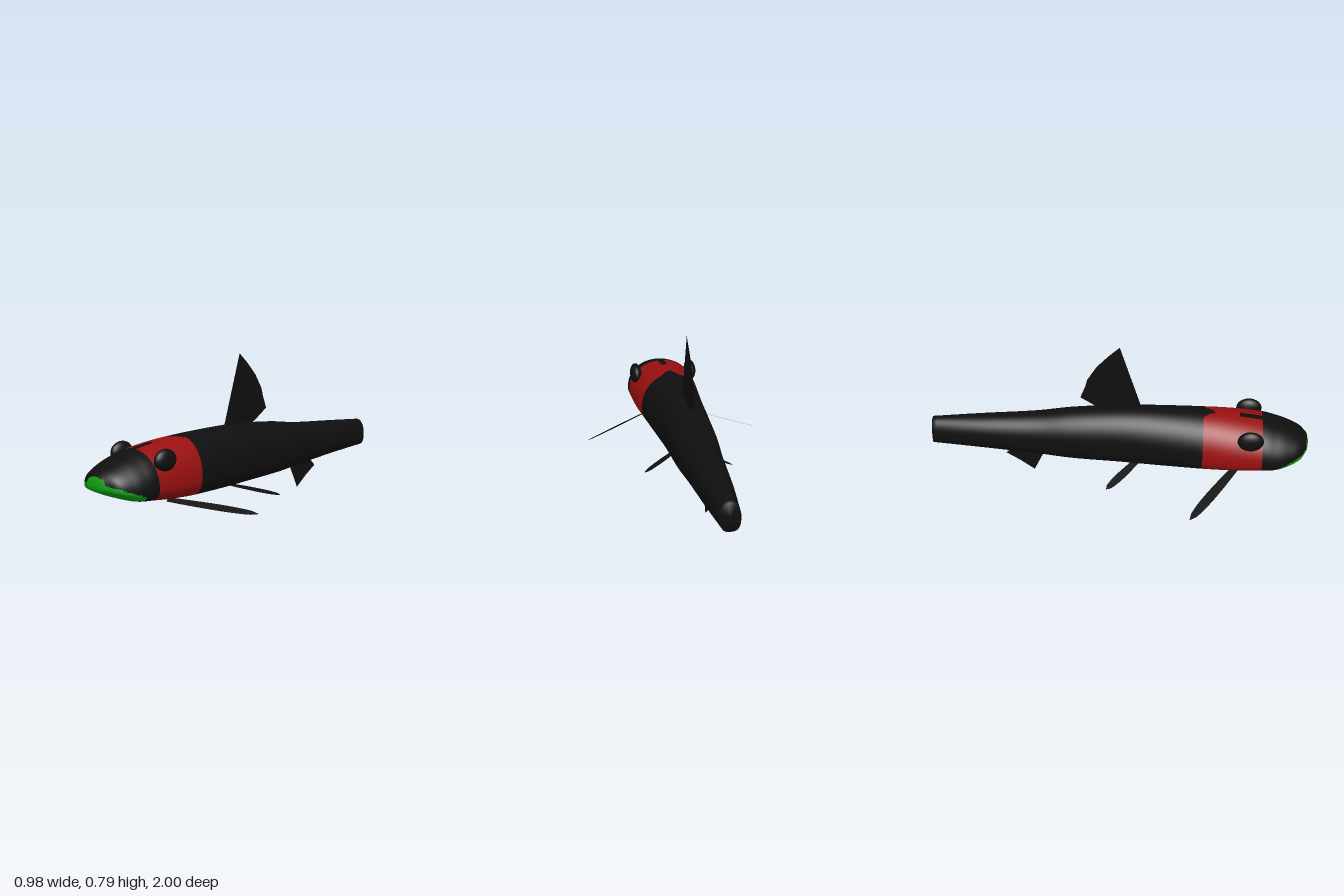
import * as THREE from 'three';

const mat = (name, color, side = THREE.FrontSide) => {
  const m = new THREE.MeshStandardMaterial({ color, side });
  m.name = name;
  return m;
};

// Body stations from nose to tail: z, half width, top, bottom, height fraction of the widest line
const STATIONS = [
  [0.99, 0.06, 0.285, 0.215, 0.35],
  [0.95, 0.13, 0.315, 0.195, 0.25],
  [0.88, 0.168, 0.348, 0.165, 0.25],
  [0.82, 0.184, 0.368, 0.146, 0.28],
  [0.75, 0.188, 0.386, 0.137, 0.33],
  [0.6, 0.182, 0.406, 0.121, 0.36],
  [0.44, 0.165, 0.417, 0.11, 0.4],
  [0.2, 0.142, 0.423, 0.109, 0.45],
  [0, 0.127, 0.42, 0.114, 0.5],
  [-0.25, 0.115, 0.4, 0.125, 0.5],
  [-0.45, 0.097, 0.372, 0.143, 0.5],
  [-0.75, 0.076, 0.347, 0.165, 0.5],
  [-1, 0.05, 0.326, 0.177, 0.5],
];

function bodyGeometry() {
  const spline = (f) => new THREE.CatmullRomCurve3(STATIONS.map(f), false, 'catmullrom');
  const widths = spline((s) => new THREE.Vector3(s[0], s[1], s[4]));
  const heights = spline((s) => new THREE.Vector3(s[0], s[2], s[3]));
  const rings = (STATIONS.length - 1) * 10, seg = 64;
  const pos = [], faces = [[], [], []];
  for (let i = 0; i <= rings; i++) {
    const w = widths.getPoint(i / rings), h = heights.getPoint(i / rings);
    const mid = h.z + (h.y - h.z) * w.z;
    for (let j = 0; j < seg; j++) {
      const a = (j / seg) * Math.PI * 2, s = Math.sin(a), c = Math.cos(a);
      // domed back, squarer belly
      const q = c < 0 ? 0.7 : 1;
      const x = w.y * Math.sign(s) * Math.abs(s) ** q;
      const y = c < 0 ? mid - (mid - h.z) * Math.abs(c) ** q : mid + (h.y - mid) * c;
      pos.push(x, y, w.x);
    }
  }
  const nose = pos.length / 3, tail = nose + 1;
  pos.push(0, 0.245, 1, 0, 0.25, -1);

  // Colour zones: 0 black, 1 red collar, 2 green mouth
  const zone = (x, y, z) => {
    if (z > 0.82 && y < 0.185 + 0.4 * (z - 0.83)) return 2;
    if (z > 0.985 && y < 0.275) return 2;
    if (z < 0.44 || z > 0.75) return 0;
    const ax = Math.abs(x);
    if (y > 0.3 && ((z > 0.63 && ax < 0.014) || ax < (0.51 - z) * 0.7)) return 0;
    return 1;
  };
  const tri = (...v) => {
    const mean = (k) => v.reduce((t, n) => t + pos[n * 3 + k], 0) / 3;
    faces[zone(mean(0), mean(1), mean(2))].push(...v);
  };
  for (let j = 0; j < seg; j++) {
    const k = (j + 1) % seg;
    for (let i = 0; i < rings; i++) {
      const a = i * seg + j, b = i * seg + k;
      tri(a, b, a + seg);
      tri(b, b + seg, a + seg);
    }
    tri(nose, k, j);
    tri(tail, rings * seg + j, rings * seg + k);
  }
  const g = new THREE.BufferGeometry();
  g.setAttribute('position', new THREE.Float32BufferAttribute(pos, 3));
  g.setIndex(faces.flat());
  let start = 0;
  faces.forEach((f, n) => {
    g.addGroup(start, f.length, n);
    start += f.length;
  });
  g.computeVertexNormals();
  return g;
}

// Flat upright fin from [z, y] outline points, lying in the middle plane
function uprightFin(points) {
  const g = new THREE.ShapeGeometry(new THREE.Shape(points.map(([z, y]) => new THREE.Vector2(-z, y))));
  return g.rotateY(Math.PI / 2);
}

// Leaf-shaped paired fin: root, tip and half-width vector
function leafFin(root, tip, across, side) {
  const pos = [], index = [], n = 12;
  for (let i = 0; i <= n; i++) {
    const t = i / n;
    const w = Math.sqrt(1 - t * t) * (0.55 + 0.75 * t);
    for (const s of [-1, 1]) {
      const p = root.map((r, k) => r + (tip[k] - r) * t + across[k] * w * s);
      pos.push(p[0] * side, p[1], p[2]);
    }
    if (i < n) index.push(2 * i, 2 * i + 1, 2 * i + 2, 2 * i + 1, 2 * i + 3, 2 * i + 2);
  }
  const g = new THREE.BufferGeometry();
  g.setAttribute('position', new THREE.Float32BufferAttribute(pos, 3));
  g.setIndex(index);
  g.computeVertexNormals();
  return g;
}

export function createModel() {
  const group = new THREE.Group();
  group.name = 'fish';
  const black = mat('black', 0x0f0f0f, THREE.DoubleSide);
  const red = mat('red', 0x9a1010);
  const green = mat('green', 0x12a512);
  const add = (name, geometry, material = black) => {
    const mesh = new THREE.Mesh(geometry, material);
    mesh.name = name;
    group.add(mesh);
    return mesh;
  };

  add('body', bodyGeometry(), [black, red, green]);

  // Middle fins
  add('dorsalFin', uprightFin([
    [0.12, 0.41], [0, 0.79], [-0.06, 0.735], [-0.12, 0.67], [-0.17, 0.59], [-0.18, 0.55], [-0.207, 0.48], [-0.09, 0.405],
  ]));
  add('analFin', uprightFin([
    [-0.39, 0.16], [-0.465, 0.003], [-0.54, 0.06], [-0.615, 0.108], [-0.55, 0.17],
  ]));

  // Eyes and paired fins, mirrored
  for (const side of [1, -1]) {
    const label = side > 0 ? 'left' : 'right';
    const eye = add(label + 'Eye', new THREE.SphereGeometry(1, 28, 18));
    eye.scale.set(0.032, 0.056, 0.068);
    eye.position.set(side * 0.158, 0.34, 0.686);
    add(label + 'PectoralFin', leafFin([0.1, 0.128, 0.62], [0.49, 0.077, 0.38], [0.015, -0.013, 0.024], side));
    add(label + 'PelvicFin', leafFin([0.03, 0.11, 0.1], [0.24, 0.062, -0.06], [0.017, -0.006, 0.022], side));
  }
  return group;
}
